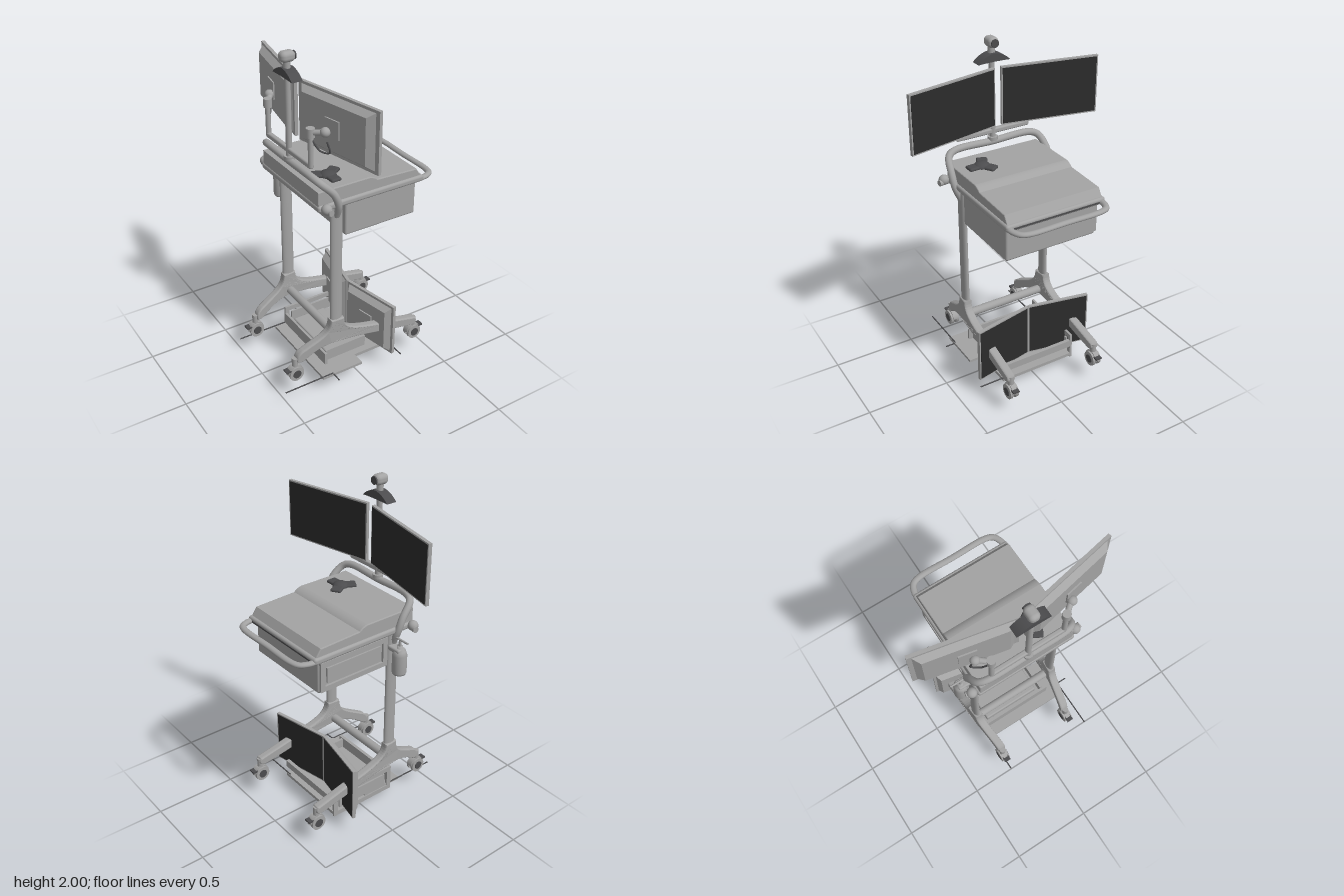
import * as THREE from 'three';
import { RoundedBoxGeometry } from 'three/addons/geometries/RoundedBoxGeometry.js';

export function createModel() {
  const root = new THREE.Group();
  root.name = 'medicalCart';
  const mat = (name, color, side = THREE.FrontSide) => {
    const m = new THREE.MeshStandardMaterial({ color, side });
    m.name = name;
    return m;
  };
  const grey = mat('grey', 0xa3a3a3);
  const screen = mat('screenBlack', 0x2c2c2c);
  const charcoal = mat('charcoal', 0x4c4c4e);

  const V = (x, y, z) => new THREE.Vector3(x, y, z);
  const add = (name, geo, m = grey, parent = root) => {
    const mesh = new THREE.Mesh(geo, m);
    mesh.name = name;
    parent.add(mesh);
    return mesh;
  };
  // Box given by its two extreme corners
  const box = (name, a, b, m = grey, parent = root, r = 0) => {
    const s = [b[0] - a[0], b[1] - a[1], b[2] - a[2]];
    const geo = r ? new RoundedBoxGeometry(...s, 3, r) : new THREE.BoxGeometry(...s);
    return add(name, geo.translate((a[0] + b[0]) / 2, (a[1] + b[1]) / 2, (a[2] + b[2]) / 2), m, parent);
  };
  const rod = (name, a, b, r, m = grey, parent = root, r2 = r) => {
    const dir = b.clone().sub(a);
    const mesh = add(name, new THREE.CylinderGeometry(r2, r, dir.length(), 16), m, parent);
    mesh.position.copy(a).lerp(b, 0.5);
    mesh.quaternion.setFromUnitVectors(V(0, 1, 0), dir.normalize());
    return mesh;
  };
  const tube = (name, pts, r, parent = root, m = grey) =>
    add(name, new THREE.TubeGeometry(new THREE.CatmullRomCurve3(pts, false, 'centripetal'), 64, r, 12), m, parent);
  const ball = (name, p, r, m = grey, parent = root) =>
    add(name, new THREE.SphereGeometry(r, 16, 12).translate(p.x, p.y, p.z), m, parent);

  // Rectangular frame with recessed panel on the -z side
  const framedPanel = (name, x0, x1, y0, y1, z) => {
    const s = new THREE.Shape([[x0, y0], [x1, y0], [x1, y1], [x0, y1]].map(p => new THREE.Vector2(...p)));
    const t = 0.03;
    s.holes.push(new THREE.Path([[x0 + t, y0 + t], [x0 + t, y1 - t], [x1 - t, y1 - t], [x1 - t, y0 + t]]
      .map(p => new THREE.Vector2(...p))));
    add(name + 'Frame', new THREE.ExtrudeGeometry(s, { depth: 0.014, bevelEnabled: false }).translate(0, 0, z));
    box(name + 'Inset', [x0 + t * 1.5, y0 + t * 1.5, z + 0.004], [x1 - t * 1.5, y1 - t * 1.5, z + 0.014]);
  };

  // Work surface: side profile extruded across the cart
  const top = new THREE.Shape();
  top.moveTo(-0.27, 1.23);
  top.lineTo(-0.27, 1.315);
  top.lineTo(0.05, 1.315);
  top.quadraticCurveTo(0.08, 1.31, 0.10, 1.29);
  top.lineTo(0.36, 1.28);
  top.lineTo(0.395, 1.23);
  add('workSurface', new THREE.ExtrudeGeometry(top, {
    depth: 0.586, bevelThickness: 0.006, bevelSize: 0.005, bevelSegments: 2
  }).translate(0, 0, -0.293));
  box('surfaceRim', [-0.28, 1.2, -0.312], [0.41, 1.24, 0.312], grey, root, 0.015);
  box('frontSlot', [0.408, 1.213, -0.27], [0.413, 1.222, 0.27], charcoal);

  // Drawer under the surface
  box('drawerBox', [-0.1, 1.0, -0.28], [0.368, 1.21, 0.292], grey, root, 0.012);
  framedPanel('drawerSide', -0.1, 0.36, 1.01, 1.19, -0.294);

  // Push handle at the front edge
  const handle = tube('pushHandle', [V(0.38, 0, -0.29), V(0.43, 0, -0.288), V(0.475, 0, -0.265), V(0.492, 0, -0.22),
    V(0.492, 0, 0), V(0.492, 0, 0.22), V(0.475, 0, 0.265), V(0.43, 0, 0.288), V(0.38, 0, 0.29)], 0.019);
  handle.scale.y = 0.75;
  handle.position.y = 1.214;

  // Rear hoop rising from the column heads
  tube('rearHoop', [V(-0.15, 1.14, -0.28), V(-0.155, 1.21, -0.31), V(-0.185, 1.29, -0.315), V(-0.25, 1.36, -0.295),
    V(-0.27, 1.38, -0.25), V(-0.272, 1.38, 0), V(-0.27, 1.38, 0.25), V(-0.25, 1.36, 0.295), V(-0.185, 1.29, 0.315),
    V(-0.155, 1.21, 0.31), V(-0.15, 1.14, 0.28)], 0.021);

  const casterAt = (x, z, yaw) => {
    const g = new THREE.Group();
    g.name = 'caster';
    for (const s of [-1, 1]) {
      add('wheel', new THREE.CylinderGeometry(0.046, 0.046, 0.017, 24).rotateX(Math.PI / 2).translate(0, 0.147, s * 0.018), grey, g);
      add('wheelCap', new THREE.CylinderGeometry(0.026, 0.026, 0.004, 20).rotateX(Math.PI / 2).translate(0, 0.147, s * 0.028), charcoal, g);
    }
    add('fork', new THREE.CylinderGeometry(0.05, 0.05, 0.03, 20, 1, false, 0, Math.PI).rotateX(Math.PI / 2)
      .rotateZ(Math.PI / 2).translate(0, 0.15, 0), grey, g);
    rod('stem', V(0, 0.17, 0), V(0, 0.25, 0), 0.018, grey, g);
    box('brakePedal', [0.03, 0.17, -0.02], [0.065, 0.18, 0.02], charcoal, g);
    g.position.set(x, 0, z);
    g.rotation.y = yaw;
    root.add(g);
  };

  // Leg: arched side profile, splayed by moving its vertices in z
  const leg = new THREE.Shape();
  leg.moveTo(-0.184, 0.45);
  leg.bezierCurveTo(-0.19, 0.36, -0.24, 0.35, -0.35, 0.292);
  leg.quadraticCurveTo(-0.4, 0.27, -0.395, 0.225);
  leg.lineTo(-0.368, 0.225);
  leg.bezierCurveTo(-0.32, 0.26, -0.25, 0.31, -0.15, 0.305);
  leg.bezierCurveTo(0.05, 0.29, 0.15, 0.25, 0.38, 0.215);
  leg.quadraticCurveTo(0.42, 0.22, 0.4, 0.25);
  leg.lineTo(0.2, 0.295);
  leg.bezierCurveTo(-0.03, 0.34, -0.11, 0.36, -0.115, 0.45);
  const legGeo = new THREE.ExtrudeGeometry(leg, {
    depth: 0.02, bevelThickness: 0.015, bevelSize: 0.008, bevelSegments: 4, curveSegments: 14
  }).translate(0, 0, -0.01);

  for (const s of [-1, 1]) {
    add('column', new THREE.CylinderGeometry(0.038, 0.038, 0.8, 24).scale(1, 1, 0.5).translate(-0.148, 0.82, s * 0.275));
    const geo = legGeo.clone();
    const p = geo.attributes.position;
    for (let i = 0; i < p.count; i++) {
      const x = p.getX(i);
      const bend = x < -0.15 ? (x + 0.15) * 0.15 : (x + 0.15) * 0.02;
      p.setZ(i, p.getZ(i) + s * (0.278 + bend));
    }
    geo.computeVertexNormals();
    add('leg', geo);
    casterAt(0.402, s * 0.287, 0);
    casterAt(-0.408, s * 0.243, Math.PI);
    ball('hoopJoint', V(-0.245, 1.23, s * 0.335), 0.03).scale.set(1, 1, 1);
    rod('cornerBumper', V(-0.245, 1.22, s * 0.30), V(-0.235, 1.22, s * 0.37), 0.018);
  }
  rod('crossBar', V(-0.15, 0.335, -0.275), V(-0.15, 0.335, 0.275), 0.026);

  // Display facing +x, spreading sideways from its inner edge
  const display = (name, x, y, z, s, w, h, yaw) => {
    const g = new THREE.Group();
    g.name = name;
    const span = (a, b) => (s > 0 ? [a, b] : [-b, -a]);
    const [z0, z1] = span(0, w), [s0, s1] = span(0.008, w - 0.008);
    box('bezel', [-0.02, 0, z0], [0, h, z1], grey, g);
    box('screen', [-0.003, 0.008, s0], [0.002, h - 0.008, s1], screen, g);
    // Tapered rear shell
    const back = new THREE.BoxGeometry(0.036, h * 0.92, w * 0.92);
    const p = back.attributes.position;
    for (let i = 0; i < p.count; i++) if (p.getX(i) < 0) {
      p.setY(i, p.getY(i) * 0.82);
      p.setZ(i, p.getZ(i) * 0.86);
    }
    back.computeVertexNormals();
    add('rearShell', back.translate(-0.036, h / 2, s * w / 2), grey, g);
    box('mountPlate', [-0.062, h / 2 - 0.05, s * w / 2 - 0.05], [-0.052, h / 2 + 0.05, s * w / 2 + 0.05], grey, g);
    g.position.set(x, y, z);
    g.rotation.y = s * yaw;
    root.add(g);
  };

  // Mast, U-shaped bar and display arms
  rod('mast', V(-0.272, 1.38, 0), V(-0.272, 1.88, 0), 0.017);
  rod('mastFoot', V(-0.272, 1.39, 0), V(-0.272, 1.412, 0), 0.03);
  box('displayBar', [-0.287, 1.43, -0.235], [-0.257, 1.462, 0.235], grey, root, 0.01);
  for (const s of [-1, 1]) {
    display('upperDisplay', -0.2, 1.502, s * 0.02, s, 0.577, 0.342, 0.2);
    rod('armPost', V(-0.272, 1.44, s * 0.225), V(-0.272, 1.65, s * 0.225), 0.015);
    rod('armCollar', V(-0.272, 1.61, s * 0.225), V(-0.272, 1.66, s * 0.225), 0.024);
    rod('displayArm', V(-0.272, 1.635, s * 0.225), V(-0.21, 1.65, s * 0.3), 0.016);
    ball('armPivot', V(-0.225, 1.65, s * 0.29), 0.027);
    tube('cable', [V(-0.22, 1.6, s * 0.3), V(-0.21, 1.54, s * 0.31), V(-0.24, 1.54, s * 0.27), V(-0.27, 1.6, s * 0.23)], 0.005, root, charcoal);
    display('lowerDisplay', 0.128, 0.115, 0, s, 0.383, 0.34, 0.2);
  }

  // Camera head on a fan-shaped bracket
  const fan = new THREE.Shape();
  fan.moveTo(-0.1, 1.862);
  fan.quadraticCurveTo(-0.06, 1.905, 0, 1.912);
  fan.quadraticCurveTo(0.06, 1.905, 0.1, 1.862);
  fan.quadraticCurveTo(0, 1.868, -0.1, 1.862);
  add('cameraBracket', new THREE.ExtrudeGeometry(fan, { depth: 0.064, bevelEnabled: false })
    .translate(0, 0, -0.032).rotateY(Math.PI / 2).translate(-0.27, 0, 0), charcoal);
  rod('cameraNeck', V(-0.272, 1.9, 0), V(-0.272, 1.95, 0), 0.02);
  add('cameraBody', new RoundedBoxGeometry(0.085, 0.06, 0.062, 4, 0.025).translate(-0.272, 1.97, 0));
  add('cameraLens', new THREE.CylinderGeometry(0.023, 0.023, 0.008, 24).rotateZ(Math.PI / 2).translate(-0.23, 1.97, 0), charcoal);

  // Three-armed speaker phone
  const phone = new THREE.Group();
  phone.name = 'speakerPhone';
  for (let i = 0; i < 3; i++) {
    const a = 0.55 + i * Math.PI * 2 / 3;
    const arm = box('phoneArm', [0, 0, -0.032], [0.09, 0.022, 0.032], charcoal, phone, 0.01);
    arm.rotation.y = a;
  }
  add('phoneCore', new THREE.SphereGeometry(0.048, 24, 12, 0, Math.PI * 2, 0, Math.PI / 2).scale(1, 0.55, 1).translate(0, 0.008, 0), charcoal, phone);
  phone.position.set(-0.125, 1.313, 0.155);
  root.add(phone);

  // Pump bottle on the side
  add('pumpBottle', new THREE.LatheGeometry([[0, 0.97], [0.038, 0.97], [0.042, 0.98], [0.042, 1.09], [0.034, 1.115], [0.016, 1.13], [0.016, 1.145], [0, 1.145]]
    .map(p => new THREE.Vector2(...p)), 24).translate(-0.142, 0, -0.348));
  rod('pumpStem', V(-0.142, 1.14, -0.348), V(-0.142, 1.185, -0.348), 0.008);
  rod('pumpNozzle', V(-0.142, 1.183, -0.3), V(-0.142, 1.183, -0.41), 0.006);
  box('bottleHolder', [-0.17, 1.1, -0.37], [-0.11, 1.13, -0.28], grey, root, 0.01);

  // Low equipment tray between the legs
  box('trayPlate', [-0.27, 0.088, -0.24], [0.0, 0.104, 0.335]);
  box('trayFloor', [-0.2, 0.07, -0.24], [0.24, 0.09, 0.24]);
  box('trayFrontWall', [0.218, 0.14, -0.24], [0.24, 0.185, 0.24]);
  box('trayRearWall', [-0.2, 0.1, -0.24], [-0.185, 0.18, 0.24]);
  box('trayUnit', [-0.16, 0.1, -0.2], [0.06, 0.15, 0.18], grey, root, 0.01);
  box('trayInnerWall', [-0.18, 0.11, 0.2], [0.1, 0.18, 0.215]);
  framedPanel('traySide', -0.2, 0.24, 0.06, 0.225, -0.246);

  // Thin rods and small fittings beneath the tray
  rod('longRod', V(-0.52, 0.105, 0.33), V(-0.2, 0.105, 0.33), 0.004, charcoal);
  rod('rearRod', V(-0.515, 0.105, -0.245), V(-0.2, 0.105, -0.245), 0.004, charcoal);
  for (const x of [-0.2, 0.24]) rod('sideRod', V(x, 0.1, 0.2), V(x, 0.1, 0.395), 0.004, charcoal);
  rod('fittingBar', V(-0.07, 0.055, 0), V(0.1, 0.055, 0), 0.014, charcoal);
  for (const x of [-0.055, 0.09]) rod('fittingPeg', V(x, 0.015, 0), V(x, 0.08, 0), 0.018, grey, root, 0.008);
  rod('fittingFoot', V(0.015, 0, 0), V(0.015, 0.075, 0), 0.012);
  rod('fittingCross', V(0.015, 0.055, -0.055), V(0.015, 0.055, 0.055), 0.012, charcoal);

  return root;
}
